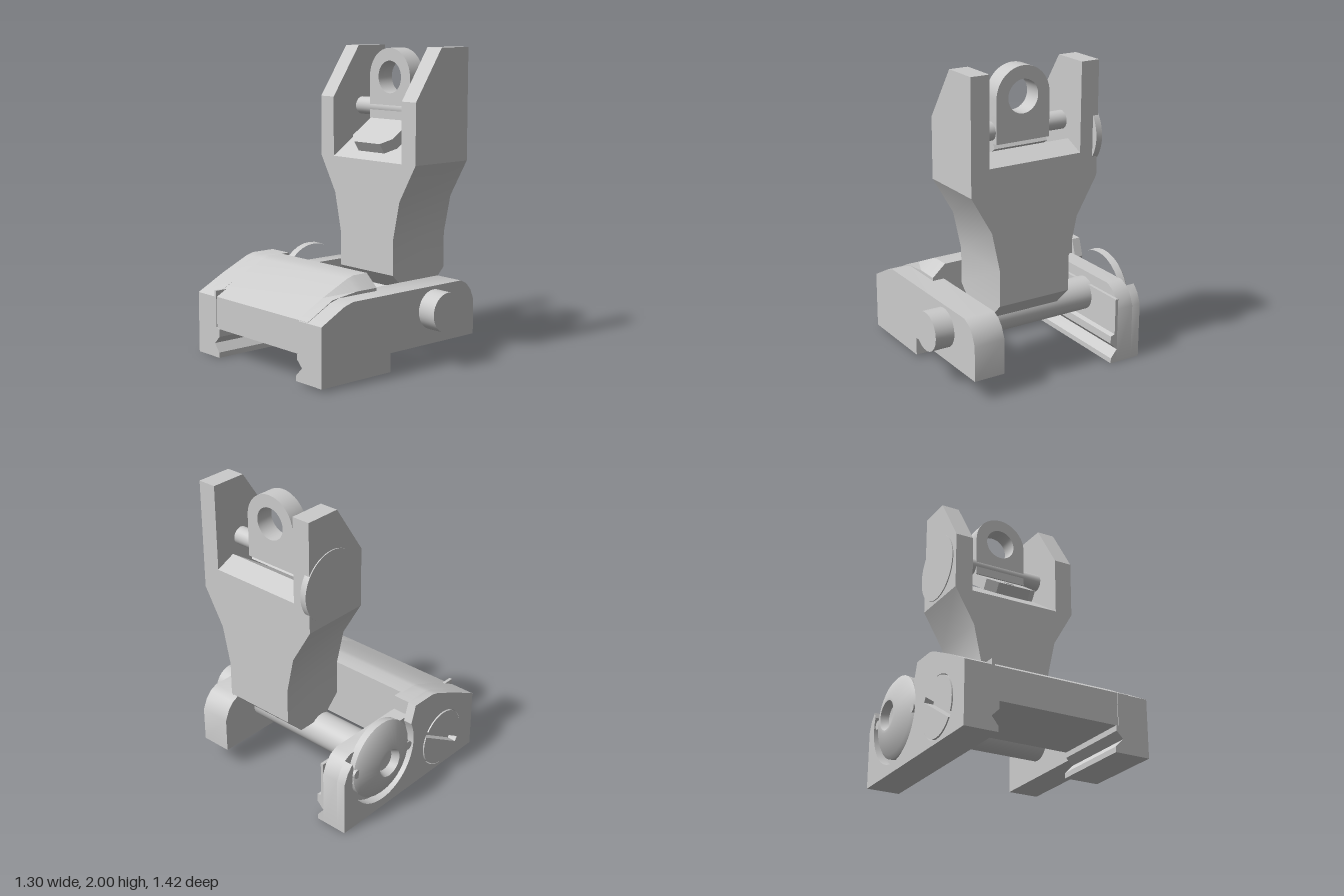
import * as THREE from 'three';
import { toCreasedNormals } from 'three/addons/utils/BufferGeometryUtils.js';

const mat = new THREE.MeshStandardMaterial({ color: 0xcccccc });

function add(parent, name, geo) {
  const mesh = new THREE.Mesh(toCreasedNormals(geo, 0.5), mat);
  mesh.name = name;
  parent.add(mesh);
  return mesh;
}

const outline = (pts) => new THREE.Shape(pts.map(([a, b]) => new THREE.Vector2(a, b)));
const circle = (x, y, r) => new THREE.Path().absarc(x, y, r, 0, Math.PI * 2, true);

// Shape in (x, y), swept from z0 to z1
function alongZ(shape, z0, z1) {
  return new THREE.ExtrudeGeometry(shape, { depth: z1 - z0, bevelEnabled: false, curveSegments: 24 })
    .translate(0, 0, z0);
}

// Shape in (-z, y), swept from x0 to x1
function alongX(shape, x0, x1) {
  return new THREE.ExtrudeGeometry(shape, { depth: x1 - x0, bevelEnabled: false, curveSegments: 24 })
    .rotateY(Math.PI / 2).translate(x0, 0, 0);
}
const sideOutline = (pts) => outline(pts.map(([z, y]) => [-z, y]));

function rodZ(x, y, r, z0, z1, seg = 32) {
  return new THREE.CylinderGeometry(r, r, z1 - z0, seg).rotateX(Math.PI / 2).translate(x, y, (z0 + z1) / 2);
}

function arcPoints(cx, cy, r, a0, a1, n) {
  return Array.from({ length: n + 1 }, (_, i) => {
    const a = a0 + (a1 - a0) * i / n;
    return [cx + r * Math.cos(a), cy + r * Math.sin(a)];
  });
}

const HX = 0.28, HY = 0.36; // hinge axis
const MZ = 0.115;           // middle of the tower in z

function buildBase() {
  const base = new THREE.Group();
  base.name = 'base';

  // Front side plate and its clamp foot
  add(base, 'frontPlate', alongZ(outline([
    [-0.65, 0.14], [0.65, 0.14], [0.65, 0.37], [0.62, 0.44], [0.58, 0.485], [0.53, 0.51],
    [-0.4, 0.51], [-0.47, 0.49], [-0.65, 0.395]]), 0.37, 0.58));
  add(base, 'frontFoot', alongX(sideOutline([
    [0.58, 0.02], [0.345, 0.02], [0.345, 0.055], [0.4, 0.11], [0.355, 0.155], [0.355, 0.19], [0.58, 0.19]]),
    -0.65, -0.09));

  // Rounded hood joining the two plates
  const hood = [[-0.645, 0.19], [-0.09, 0.19], [-0.09, 0.61], [-0.2, 0.61], [-0.25, 0.597], [-0.45, 0.505], [-0.645, 0.4]];
  add(base, 'hood', alongZ(outline(hood), -0.5, 0.36));
  const lip = alongZ(outline(hood), 0.36, 0.45);
  const p = lip.attributes.position;
  for (let i = 0; i < p.count; i++) {
    if (p.getZ(i) > 0.4 && p.getY(i) > 0.53) p.setY(i, 0.53);
  }
  lip.computeVertexNormals();
  add(base, 'hoodLip', lip);

  // Back side plate: inner layer, rail groove, outer layer with recesses
  add(base, 'backPlate', alongZ(outline([
    [-0.65, 0], [0.65, 0], [0.65, 0.37], [0.62, 0.44], [0.58, 0.485], [0.53, 0.51],
    [-0.03, 0.51], [-0.03, 0.61], [-0.2, 0.61], [-0.25, 0.597], [-0.45, 0.505], [-0.65, 0.4]]), -0.6, -0.485));
  add(base, 'backRail', alongX(sideOutline([
    [-0.485, 0], [-0.44, 0], [-0.44, 0.035], [-0.485, 0.09], [-0.435, 0.14], [-0.435, 0.19],
    [-0.465, 0.2], [-0.465, 0.44], [-0.485, 0.44]]), -0.65, 0.65));
  const outer = outline([
    [-0.65, 0], [0.65, 0], [0.65, 0.37], [0.62, 0.44], [0.58, 0.485],
    ...arcPoints(HX, HY, 0.3, 0.3, -Math.PI - 0.45, 32),
    [-0.03, 0.61], [-0.2, 0.61], [-0.25, 0.597], [-0.45, 0.505], [-0.65, 0.4]]);
  const SX = -0.32, SY = 0.22;
  outer.holes.push(circle(SX, SY, 0.197));
  add(base, 'backPlateOuter', alongZ(outer, -0.66, -0.6));

  // Slotted screw: two halves either side of a diagonal slot
  const tilt = Math.atan2(0.52, 0.85), gap = Math.asin(0.018 / 0.19);
  for (const turn of [0, Math.PI]) {
    const half = outline(arcPoints(SX, SY, 0.19, tilt + turn + gap, tilt + turn + Math.PI - gap, 24));
    add(base, 'screwHalf', alongZ(half, -0.665, -0.6));
  }

  // Hinge: tube, front button, domed back nut with a socket
  add(base, 'hingeTube', rodZ(HX, HY, 0.11, -0.5, 0.4));
  add(base, 'hingeButton', rodZ(HX, HY, 0.128, 0.56, 0.71));
  const nut = [[0.26, 0.59], [0.265, 0.64], [0.24, 0.66], [0.115, 0.71], [0.095, 0.71], [0.075, 0.66], [0, 0.65]]
    .map(([r, h]) => new THREE.Vector2(r, h));
  add(base, 'hingeNut', new THREE.LatheGeometry(nut, 32).rotateX(-Math.PI / 2).translate(HX, HY, 0));
  for (const a of [0.1, Math.PI + 0.1]) {
    add(base, 'nutPin', rodZ(HX + 0.25 * Math.cos(a), HY + 0.25 * Math.sin(a), 0.03, -0.66, -0.6, 16));
  }
  return base;
}

function buildTower() {
  const tower = new THREE.Group();
  tower.name = 'tower';

  // Chamfered foot over the hinge, and flared neck
  add(tower, 'towerFoot', alongZ(outline([
    [0.13, 0.56], [0.25, 0.44], [0.47, 0.44], [0.59, 0.56]]), MZ - 0.25, MZ + 0.25));
  const halfNeck = [[0.25, 0.56], [0.25, 0.79], [0.305, 1.04], [0.445, 1.28]];
  add(tower, 'neck', alongX(sideOutline([
    ...halfNeck.map(([w, y]) => [MZ + w, y]),
    ...halfNeck.map(([w, y]) => [MZ - w, y]).reverse()]), 0.13, 0.59));

  // Sloped floor between two tall ears
  add(tower, 'slotFloor', alongZ(outline([
    [0.13, 1.28], [0.59, 1.28], [0.59, 1.44], [0.46, 1.5]]), MZ - 0.32, MZ + 0.32));
  for (const s of [-1, 1]) {
    const a = MZ + s * 0.32, b = MZ + s * 0.445;
    add(tower, 'ear', alongZ(outline([
      [0.13, 1.28], [0.59, 1.28], [0.59, 2], [0.35, 2], [0.13, 1.67]]), Math.min(a, b), Math.max(a, b)));
  }
  add(tower, 'adjusterDial', rodZ(0.4, 1.53, 0.23, -0.337, -0.295, 48));

  // Cross rod and the upright aperture ring
  add(tower, 'crossRod', rodZ(0.385, 1.603, 0.058, MZ - 0.33, MZ + 0.33, 24));
  const ring = outline([
    [MZ - 0.187, 1.53], ...arcPoints(MZ, 1.803, 0.187, Math.PI, 0, 24), [MZ + 0.187, 1.53]].map(([z, y]) => [-z, y]));
  ring.holes.push(circle(-MZ, 1.803, 0.105));
  add(tower, 'apertureRing', alongX(ring, 0.33, 0.45));

  // Folded second aperture, lying on the slope
  const leaf = sideOutline([
    [MZ - 0.187, 0], [MZ + 0.187, 0], [MZ + 0.187, 0.25], [MZ + 0.12, 0.31], [MZ - 0.12, 0.31], [MZ - 0.187, 0.25]]);
  leaf.holes.push(circle(-MZ, 0.22, 0.035));
  add(tower, 'foldedAperture', alongX(leaf, 0, 0.075)
    .rotateZ(Math.PI / 2 + 0.588).translate(0.43, 1.5, 0));
  return tower;
}

export function createModel() {
  const model = new THREE.Group();
  model.name = 'foldingSight';
  model.add(buildBase(), buildTower());
  return model;
}
